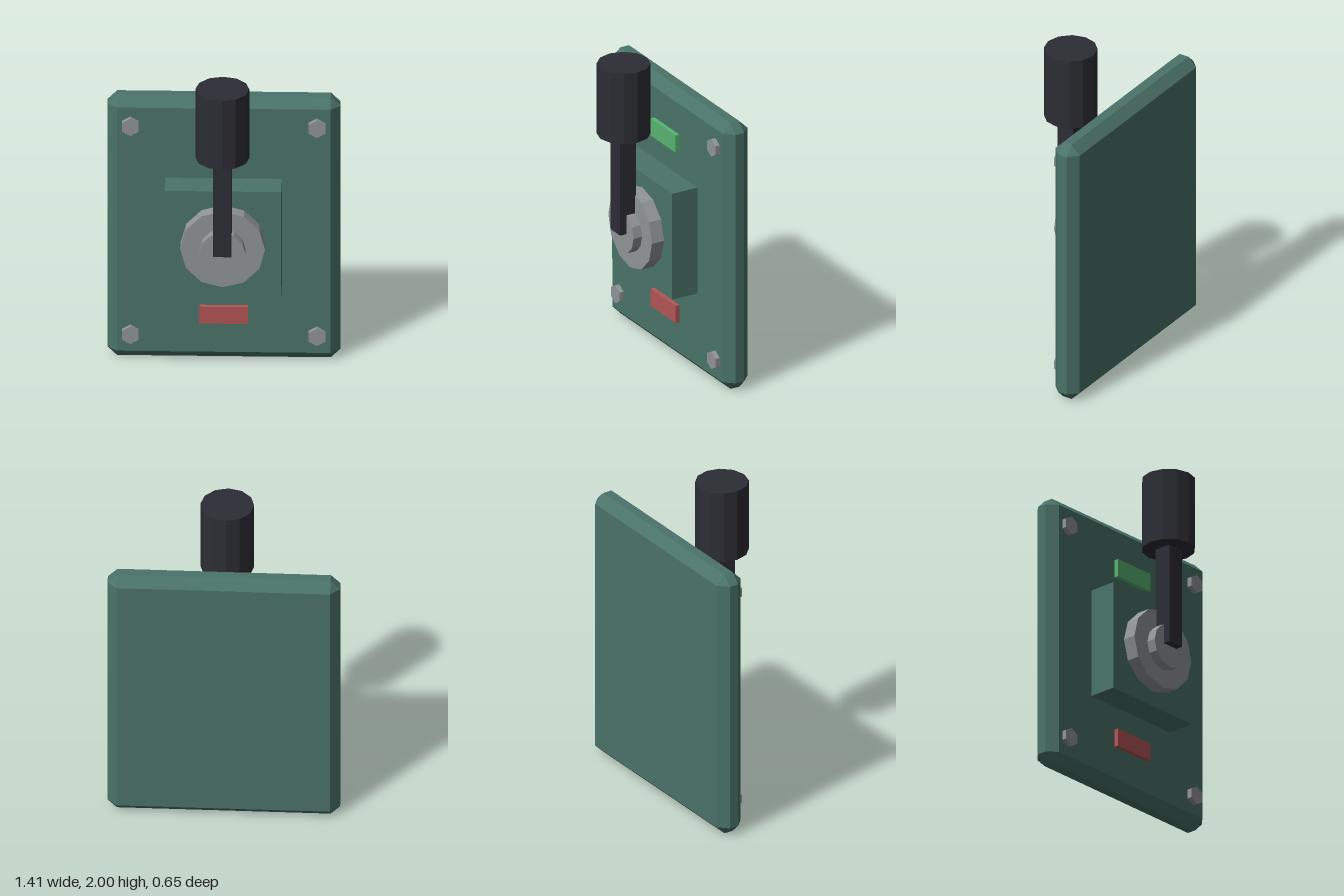
import * as THREE from 'three';
import { ConvexGeometry } from 'three/addons/geometries/ConvexGeometry.js';

const material = (name, color) => {
  const m = new THREE.MeshStandardMaterial({ color, flatShading: true });
  m.name = name;
  return m;
};

// Box with every edge cut at 45 degrees and a triangle at each corner
function chamferedBox(w, h, d, c) {
  const points = [];
  for (const sx of [-1, 1]) for (const sy of [-1, 1]) for (const sz of [-1, 1]) {
    for (let axis = 0; axis < 3; axis++) {
      const [x, y, z] = [w, h, d].map((s, i) => s / 2 - (i === axis ? 0 : c));
      points.push(new THREE.Vector3(sx * x, sy * y, sz * z));
    }
  }
  return new ConvexGeometry(points);
}

// Box given by its x half-width, y range and z range
function rangeBox(halfX, y0, y1, z0, z1) {
  return new THREE.BoxGeometry(halfX * 2, y1 - y0, z1 - z0)
    .translate(0, (y0 + y1) / 2, (z0 + z1) / 2);
}

// Faceted disc facing the front
function disc(radius, sides, x, y, z0, z1) {
  return new THREE.CylinderGeometry(radius, radius, z1 - z0, sides)
    .rotateX(Math.PI / 2).translate(x, y, (z0 + z1) / 2);
}

export function createModel() {
  const green = material('painted green', 0x4a7369);
  const metal = material('grey metal', 0x919597);
  const black = material('black grip', 0x2d2d36);
  const onGreen = material('bright green', 0x58b472);
  const offRed = material('red', 0xb45656);

  const model = new THREE.Group();
  model.name = 'wallLever';
  const add = (name, geometry, mat) => {
    const mesh = new THREE.Mesh(geometry, mat);
    mesh.name = name;
    model.add(mesh);
  };

  // Wall plate and raised housing
  add('backPlate', chamferedBox(1.41, 1.767, 0.176, 0.058).translate(0, 0.8835, -0.236), green);
  add('housing', rangeBox(0.353, 0.533, 1.237, -0.16, 0.03), green);

  // Pivot
  add('pivotDisc', disc(0.257, 12, 0, 0.887, 0.02, 0.115), metal);
  add('pivotHub', disc(0.14, 12, 0, 0.887, 0.1, 0.175), metal);

  // Lever arm and grip
  add('leverArm', rangeBox(0.056, 0.887, 1.55, 0.107, 0.219), black);
  add('leverGrip', new THREE.CylinderGeometry(0.163, 0.163, 0.467, 12)
    .translate(0, 1.7665, 0.161), black);

  // On and off markers
  add('onMarker', rangeBox(0.147, 1.395, 1.51, -0.145, -0.118), onGreen);
  add('offMarker', rangeBox(0.147, 0.264, 0.378, -0.145, -0.118), offRed);

  // Corner bolts
  for (const x of [-0.565, 0.565]) for (const y of [0.178, 1.59]) {
    add('cornerBolt', disc(0.059, 6, x, y, -0.155, -0.118), metal);
  }
  return model;
}
